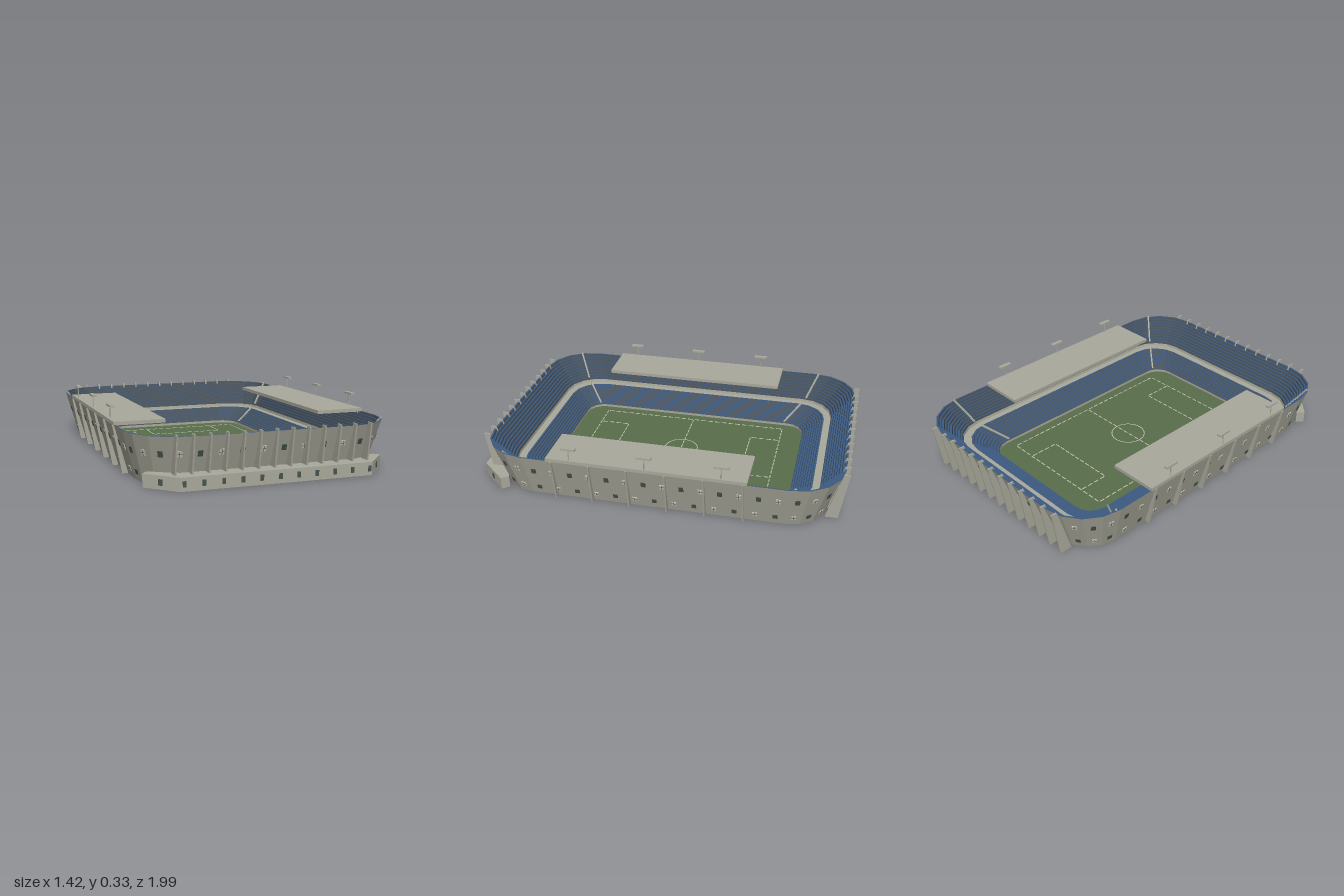
import * as THREE from 'three';
import { mergeGeometries } from 'three/addons/utils/BufferGeometryUtils.js';

const CZ = -0.008; // centre of the bowl along its length

function material(name, color) {
  const m = new THREE.MeshStandardMaterial({ color, side: THREE.DoubleSide, flatShading: true });
  m.name = name;
  return m;
}

// Rounded rectangle as a loop of points at height y
function ring([hx, hz, r, y]) {
  const pts = [], n = 4;
  [[1, 1], [-1, 1], [-1, -1], [1, -1]].forEach(([sx, sz], q) => {
    for (let i = 0; i <= n; i++) {
      const a = (q + i / n) * Math.PI / 2;
      pts.push(new THREE.Vector3(sx * (hx - r) + r * Math.cos(a), y, CZ + sz * (hz - r) + r * Math.sin(a)));
    }
  });
  return pts;
}

// Band of faces between two loops
function band(specA, specB) {
  const a = ring(specA), b = ring(specB), pos = [];
  a.forEach((p, i) => {
    const j = (i + 1) % a.length;
    for (const v of [p, b[i], b[j], p, b[j], a[j]]) pos.push(v.x, v.y, v.z);
  });
  const g = new THREE.BufferGeometry();
  g.setAttribute('position', new THREE.Float32BufferAttribute(pos, 3));
  g.computeVertexNormals();
  return g;
}

const mix = (a, b, t) => a.map((v, i) => v + (b[i] - v) * t);

function box(w, h, d, x, y, z) {
  return new THREE.BoxGeometry(w, h, d).translate(x, y, z);
}

export function createModel() {
  const concrete = material('concrete', 0xaaa99c);
  const seatBlue = material('seatBlue', 0x3b5a80);
  const riserGrey = material('riserGrey', 0x4c5660);
  const grass = material('grass', 0x586e4c);
  const glass = material('darkGlass', 0x46544e);
  const pale = material('paleWindow', 0xcfcfc4);
  const chalk = material('chalk', 0xc6c8b4);

  const model = new THREE.Group();
  const stadium = new THREE.Group();
  stadium.name = 'stadium';
  stadium.rotation.y = -0.067;
  model.add(stadium);
  const add = (name, geo, mat) => {
    const m = new THREE.Mesh(geo, mat);
    m.name = name;
    stadium.add(m);
    return m;
  };

  // Pitch
  const pitchShape = new THREE.Shape(ring([0.408, 0.661, 0.1, 0]).map(p => new THREE.Vector2(p.x, -p.z)));
  add('pitch', new THREE.ShapeGeometry(pitchShape).rotateX(-Math.PI / 2).translate(0, 0.006, 0), grass);

  // Dashed pitch markings
  const marks = [];
  const dashed = (x0, z0, x1, z1) => {
    const len = Math.hypot(x1 - x0, z1 - z0), n = Math.round(len / 0.042);
    for (let i = 0; i < n; i++) {
      const t = (i + 0.5) / n, alongX = Math.abs(x1 - x0) > Math.abs(z1 - z0);
      marks.push(box(alongX ? 0.029 : 0.005, 0.002, alongX ? 0.005 : 0.029,
        x0 + (x1 - x0) * t, 0.011, CZ + z0 + (z1 - z0) * t));
    }
  };
  dashed(-0.344, 0, 0.344, 0);
  for (const s of [-1, 1]) {
    dashed(s * 0.344, -0.536, s * 0.344, 0.536);
    dashed(-0.344, s * 0.536, 0.344, s * 0.536);
    dashed(-0.205, s * 0.368, 0.205, s * 0.368);
    for (const x of [-0.205, 0.205]) dashed(x, s * 0.368, x, s * 0.536);
  }
  add('pitchLines', mergeGeometries(marks), chalk);
  add('centreCircle', new THREE.RingGeometry(0.09, 0.095, 40).rotateX(-Math.PI / 2).translate(0, 0.012, CZ), chalk);

  // Bowl profile: half width, half length, corner radius, height
  const edge = [0.405, 0.658, 0.1, 0.02], walkIn = [0.545, 0.773, 0.17, 0.09];
  const walkOut = [0.578, 0.811, 0.19, 0.09], upper = [0.58, 0.813, 0.19, 0.105], rim = [0.667, 0.937, 0.25, 0.24];
  const base = [0.6, 0.852, 0.19, 0];
  add('pitchWall', band([0.405, 0.658, 0.1, 0], edge), concrete);
  add('pitchWallCap', band(edge, [0.411, 0.664, 0.1, 0.021]), concrete);
  add('walkway', band(walkIn, walkOut), concrete);
  add('walkwayWall', band(walkOut, upper), concrete);
  add('outerWall', band(base, rim), concrete);

  // Stepped seating
  const seating = (name, lo, hi, rows) => {
    const treads = [], risers = [];
    for (let i = 0; i < rows; i++) {
      const a = mix(lo, hi, i / rows), b = mix(lo, hi, (i + 1) / rows);
      const foot = mix(a, b, 0.2), back = [...b];
      foot[3] = b[3];
      risers.push(band(a, foot));
      treads.push(band(foot, back));
    }
    add(name + 'Seats', mergeGeometries(treads), seatBlue);
    add(name + 'Risers', mergeGeometries(risers), riserGrey);
  };
  seating('lowerTier', edge, walkIn, 9);
  seating('upperTier', upper, rim, 10);

  // Aisles climbing through the corners
  const aisle = (x0, z0, x1, z1) => {
    const yaw = Math.atan2(x1 - x0, z1 - z0), full = Math.hypot(x1 - x0, z1 - z0);
    for (const [t0, y0, t1, y1] of [[0, 0.027, 0.5, 0.098], [0.63, 0.118, 0.985, 0.248]]) {
      const run = (t1 - t0) * full, t = (t0 + t1) / 2;
      const m = add('aisle', new THREE.BoxGeometry(0.009, 0.008, Math.hypot(run, y1 - y0)), concrete);
      m.position.set(x0 + (x1 - x0) * t, (y0 + y1) / 2, z0 + (z1 - z0) * t);
      m.rotation.set(-Math.atan2(y1 - y0, run), yaw, 0, 'YXZ');
    }
  };
  for (const s of [-1, 1]) {
    aisle(s * 0.407, -0.545, s * 0.662, -0.72);
    aisle(s * 0.4, 0.595, s * 0.64, 0.79);
  }

  // Two rows of windows, following every face of the leaning wall
  const lo = ring(base), hi = ring(rim);
  const panels = { glass: [], pale: [], bars: [] };
  let count = 0;
  for (const [y, h] of [[0.045, 0.024], [0.155, 0.03]]) {
    lo.forEach((p, i) => {
      const j = (i + 1) % lo.length, t = y / 0.24;
      const a = p.clone().lerp(hi[i], t), b = lo[j].clone().lerp(hi[j], t);
      const len = a.distanceTo(b);
      const out = new THREE.Vector3(b.z - a.z, 0, a.x - b.x).normalize();
      const lean = Math.atan2(hi[i].clone().sub(p).dot(out), 0.24);
      const n = Math.round(len / 0.1);
      for (let k = 0; k < n; k++) {
        const o = new THREE.Object3D();
        o.position.copy(a).lerp(b, (k + 0.5) / n);
        o.rotation.set(lean, Math.atan2(out.x, out.z), 0, 'YXZ');
        o.updateMatrix();
        const isPale = count++ % 2 === 0;
        panels[isPale ? 'pale' : 'glass'].push(new THREE.BoxGeometry(0.024, h, 0.006).applyMatrix4(o.matrix));
        if (isPale) for (const [w, q] of [[0.002, h], [0.024, 0.002]])
          panels.bars.push(new THREE.BoxGeometry(w, q, 0.008).applyMatrix4(o.matrix));
      }
    });
  }
  add('darkWindows', mergeGeometries(panels.glass), glass);
  add('paleWindows', mergeGeometries(panels.pale), pale);
  add('windowBars', mergeGeometries(panels.bars), glass);

  // Leaning buttress fins; the shape runs outward along x
  const fin = (pts, w) => new THREE.ExtrudeGeometry(new THREE.Shape(pts.map(p => new THREE.Vector2(...p))),
    { depth: w, bevelEnabled: false }).translate(0, 0, -w / 2);
  const endFin = fin([[0.85, 0], [0.917, 0], [0.959, 0.253], [0.928, 0.253]], 0.008);
  const sideFin = fin([[0.598, 0], [0.63, 0], [0.676, 0.238], [0.66, 0.238]], 0.008);
  for (const s of [-1, 1]) {
    for (let i = 0; i < 13; i++) {
      const m = add('endFin', endFin, concrete);
      m.rotation.y = -s * Math.PI / 2;
      m.position.set(-0.488 + i * 0.0813, 0, CZ);
    }
    for (let i = 0; i < 6; i++) {
      const m = add('sideFin', sideFin, concrete);
      m.rotation.y = s > 0 ? 0 : Math.PI;
      m.position.z = 0.515 - i * 0.196;
    }
  }

  // Side roofs and floodlights
  add('leftRoof', box(0.26, 0.018, 1.03, 0.539, 0.247, 0.03), concrete);
  add('rightRoof', box(0.26, 0.018, 1.02, -0.54, 0.247, 0.014), concrete);
  for (const s of [-1, 1]) for (const z of [0.42, 0.03, -0.357]) {
    add('lampPost', new THREE.CylinderGeometry(0.003, 0.003, 0.07, 6).translate(s * 0.66, 0.288, z), concrete);
    add('lampBar', box(0.022, 0.01, 0.075, s * 0.66, 0.321, z), concrete);
  }

  // Low front annex with angled ends
  const plan = [[-0.48, -0.963], [0.488, -0.963], [0.615, -0.825], [0.585, -0.79], [0.45, -0.87],
    [-0.45, -0.87], [-0.585, -0.79], [-0.615, -0.825]];
  add('annex', new THREE.ExtrudeGeometry(new THREE.Shape(plan.map(p => new THREE.Vector2(...p))),
    { depth: 0.065, bevelEnabled: false }).rotateX(-Math.PI / 2), concrete);
  for (let i = 0; i < 11; i++)
    add('annexWindow', box(0.017, 0.028, 0.006, -0.46 + i * 0.0935, 0.034, 0.963), glass);
  for (const s of [-1, 1]) {
    const m = add('annexEndWindow', new THREE.BoxGeometry(0.02, 0.028, 0.008), glass);
    m.position.set(s * 0.55, 0.034, 0.894);
    m.rotation.y = s * 0.8;
  }
  return model;
}
